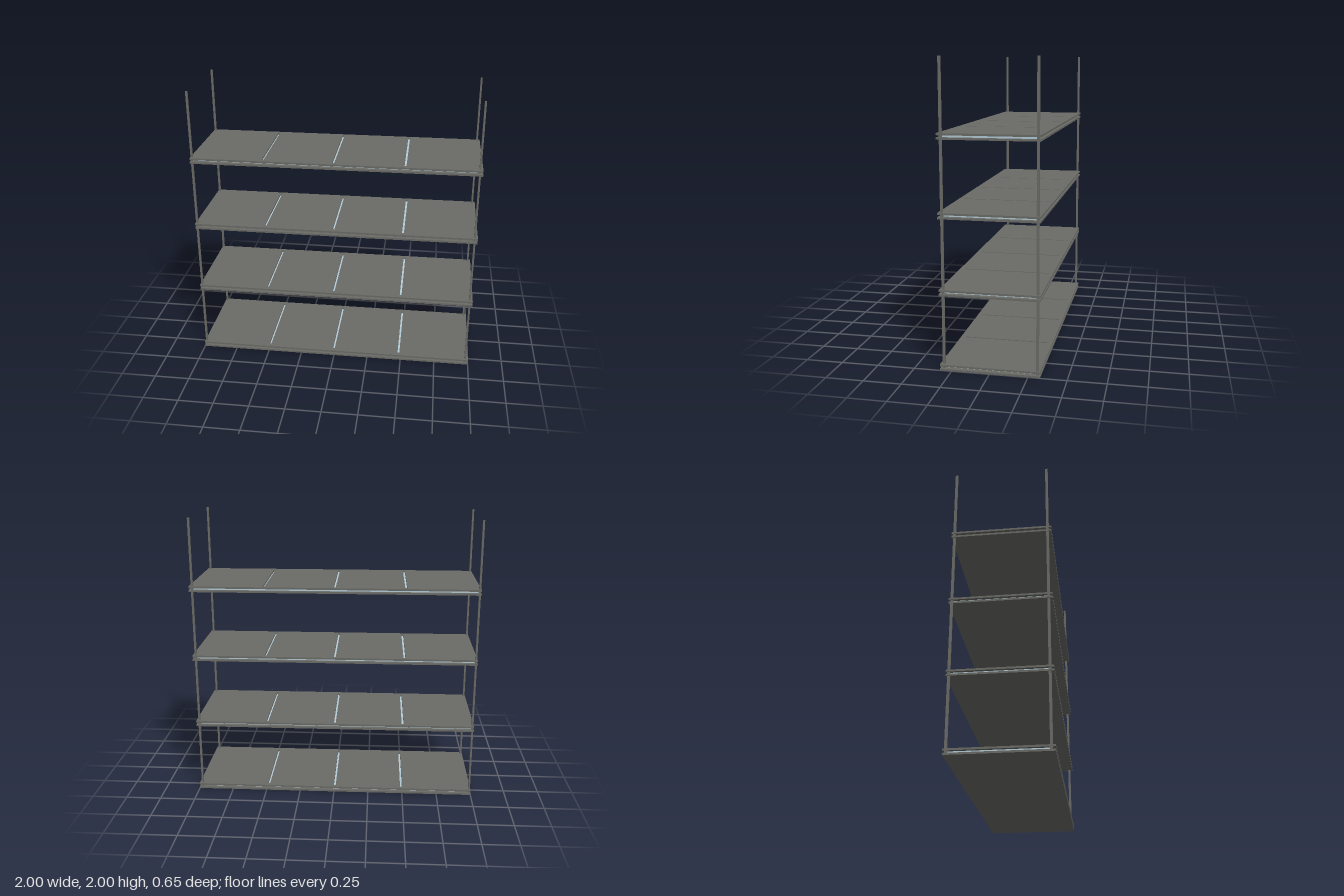
import * as THREE from 'three';

const SHELVES = 4, PITCH = 0.498, PLATE = 0.013, GAP = 0.014;
const WIDTH = 2, DEPTH = 0.655;
const OFFSET_X = -0.005, OFFSET_Z = -0.003; // posts and slots sit slightly off centre

function rectangle(path, x0, y0, x1, y1) {
  path.moveTo(x0, y0);
  path.lineTo(x1, y0);
  path.lineTo(x1, y1);
  path.lineTo(x0, y1);
  path.closePath();
  return path;
}

// Upper plate with three cross slots, lying flat with its underside at y = 0
function slottedPlate() {
  const shape = rectangle(new THREE.Shape(), -WIDTH / 2, -DEPTH / 2, WIDTH / 2, DEPTH / 2);
  for (const i of [-1, 0, 1]) {
    const x = OFFSET_X + i * 0.489;
    shape.holes.push(rectangle(new THREE.Path(), x - 0.007, -0.293, x + 0.007, 0.3));
  }
  const geometry = new THREE.ExtrudeGeometry(shape, { depth: PLATE, bevelEnabled: false });
  return geometry.rotateX(-Math.PI / 2);
}

export function createModel() {
  const steel = new THREE.MeshStandardMaterial({ color: 0x6b6b67 });
  steel.name = 'grey steel';
  const glass = new THREE.MeshStandardMaterial({ color: 0xb4cdd8 });
  glass.name = 'pale blue core';

  const model = new THREE.Group();
  model.name = 'shelvingRack';
  const add = (parent, name, geometry, material, x, y, z) => {
    const mesh = new THREE.Mesh(geometry, material);
    mesh.name = name;
    mesh.position.set(x, y, z);
    parent.add(mesh);
  };

  // Shelves: lower plate, recessed core, slotted upper plate
  const lower = new THREE.BoxGeometry(WIDTH, PLATE, DEPTH);
  const core = new THREE.BoxGeometry(1.95, GAP, 0.6);
  const upper = slottedPlate();
  for (let i = 0; i < SHELVES; i++) {
    const shelf = new THREE.Group();
    shelf.name = 'shelf' + (i + 1);
    shelf.position.y = i * PITCH;
    add(shelf, 'lowerPlate', lower, steel, 0, PLATE / 2, 0);
    add(shelf, 'core', core, glass, OFFSET_X, PLATE + GAP / 2, OFFSET_Z);
    add(shelf, 'upperPlate', upper, steel, 0, PLATE + GAP, 0);
    model.add(shelf);
  }

  // Corner posts
  const post = new THREE.BoxGeometry(0.013, 1.995, 0.017);
  for (const sx of [-1, 1]) {
    for (const sz of [-1, 1]) {
      const name = (sz > 0 ? 'front' : 'back') + (sx > 0 ? 'Left' : 'Right') + 'Post';
      add(model, name, post, steel, OFFSET_X + sx * 0.985, 1.0025, OFFSET_Z + sz * 0.306);
    }
  }
  return model;
}
